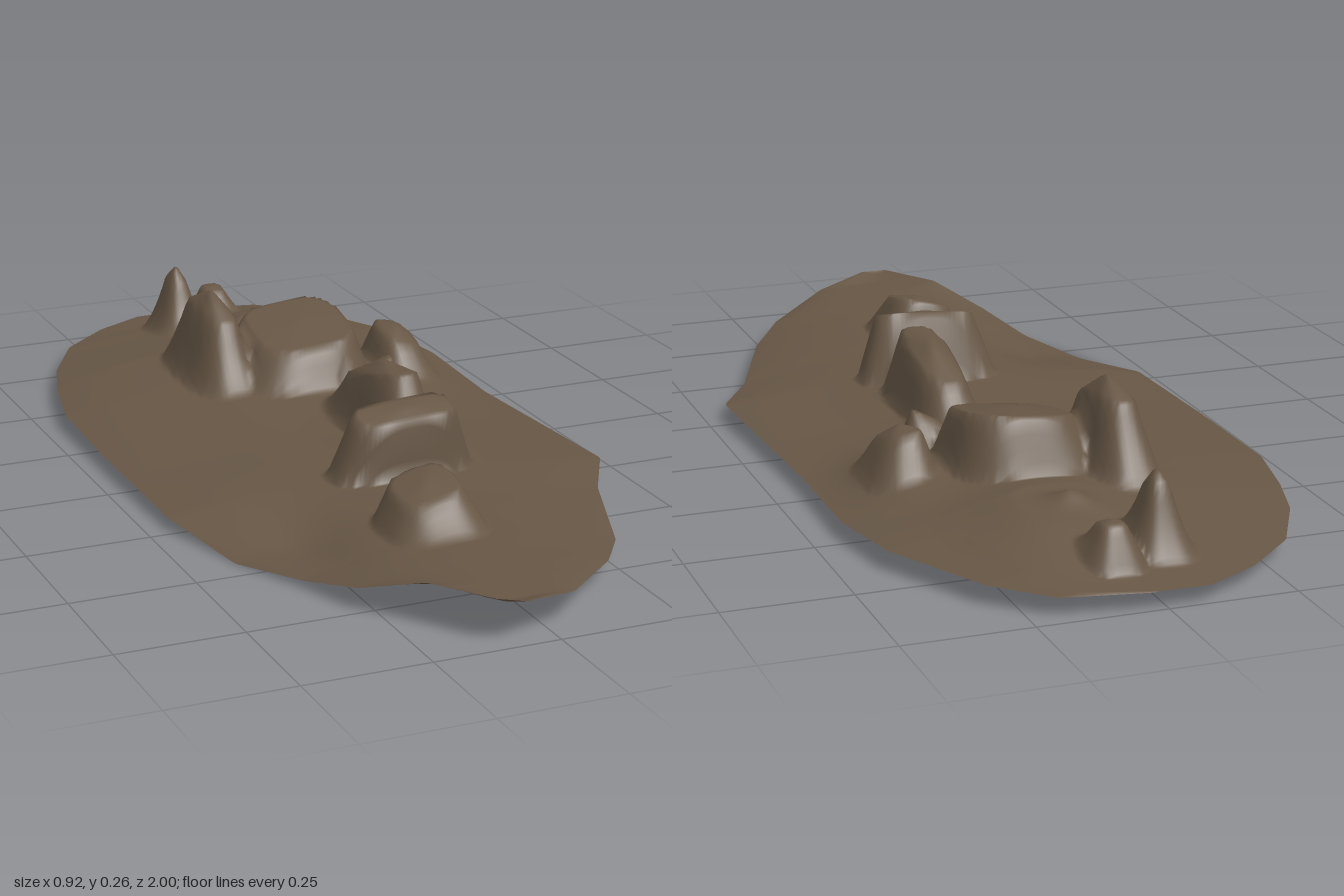
import * as THREE from 'three';

// rim of the ground sheet, back to front: [x, y, z]
const LEFT_RIM = [[-.08, .035, -1], [-.19, .035, -.94], [-.3, .035, -.84], [-.38, .035, -.69], [-.42, .035, -.56],
  [-.455, .035, -.4], [-.46, .03, -.15], [-.455, .025, .23], [-.4, 0, .44], [-.33, .015, .6], [-.28, .045, .74],
  [-.2, .088, .86], [-.12, .09, .98], [-.07, .085, 1]];
const RIGHT_RIM = [[.03, .035, -1], [.2, .038, -.975], [.3, .04, -.88], [.41, .04, -.66], [.44, .035, -.48],
  [.435, .03, -.2], [.46, .035, .28], [.38, .03, .42], [.28, .03, .68], [.2, .045, .8], [.05, .065, .95], [-.07, .085, 1]];
// height along the middle
const SPINE = [[0, .035, -1], [0, .08, -.6], [0, .06, 0], [0, .07, .5], [0, .07, .95], [0, .085, 1]];
// soft swells and dips: x, z, radius x, radius z, height
const SWELLS = [[.13, -.72, .13, .17, .035], [.06, -.4, .18, .2, .02], [.29, -.33, .1, .13, .035],
  [.11, .05, .1, .2, .015], [-.27, .45, .1, .15, -.025]];

// stones raised out of the sheet: foot [x, z, radius x, radius z], flat share of the foot,
// top height, tilt [rise towards +x, towards +z], lean of the top [x, z], roundness of the crown
const STONES = [
  { name: 'backMound', foot: [.06, -.67, .1, .09], flat: .2, top: .11, tilt: [0, 0], lean: [0, 0], crown: .01 },
  { name: 'backRidge', foot: [.06, -.87, .06, .07], flat: .4, top: .122, tilt: [0, -.01], lean: [0, 0], crown: .01 },
  { name: 'backRock', foot: [-.045, -.82, .07, .1], flat: .3, top: .16, tilt: [0, -.02], lean: [0, -.005], crown: .045 },
  { name: 'sideRock', foot: [.29, -.33, .07, .11], flat: .55, top: .14, tilt: [-.015, -.025], lean: [-.01, 0], crown: .025 },
  { name: 'smallSpike', foot: [.16, -.2, .075, .05], flat: .35, top: .13, tilt: [.04, 0], lean: [.02, 0], crown: 0 },
  { name: 'broadRock', foot: [.055, -.37, .15, .16], flat: .72, top: .178, tilt: [.015, -.03], lean: [.01, 0], crown: .012 },
  { name: 'tallRock', foot: [-.11, -.44, .075, .18], flat: .5, top: .2, tilt: [0, -.02], lean: [.005, 0], crown: .06 },
  { name: 'longRidge', foot: [.09, .01, .075, .2], flat: .6, top: .175, tilt: [0, .05], lean: [.005, 0], crown: .04 },
  { name: 'leaningSlab', foot: [.025, .25, .15, .065], flat: .7, top: .19, tilt: [.01, -.022], lean: [0, .02], crown: .01 },
  { name: 'frontRock', foot: [-.05, .555, .1, .11], flat: .6, top: .138, tilt: [.025, -.02], lean: [-.005, -.015], crown: .015 },
];

// point on a polyline at depth z
function at(line, z) {
  let i = 0;
  while (i < line.length - 2 && z > line[i + 1][2]) i++;
  const [a, b] = [line[i], line[i + 1]];
  const t = THREE.MathUtils.clamp((z - a[2]) / (b[2] - a[2]), 0, 1);
  return [a[0] + (b[0] - a[0]) * t, a[1] + (b[1] - a[1]) * t];
}

function groundHeight(x, z) {
  const [lx, ly] = at(LEFT_RIM, z), [rx, ry] = at(RIGHT_RIM, z);
  const t = THREE.MathUtils.clamp((x - lx) / Math.max(rx - lx, 1e-4), 0, 1);
  const inner = 1 - (2 * t - 1) ** 2;
  let y = ly + (ry - ly) * t;
  y += (at(SPINE, z)[1] - y) * inner;
  for (const [cx, cz, ax, az, h] of SWELLS)
    y += h * Math.exp(-(((x - cx) / ax) ** 2) - ((z - cz) / az) ** 2) * Math.min(1, inner * 2);
  return y;
}

// stone that covers a spot most, with its cover from 0 to 1
function stoneAt(x, z) {
  let best = { cover: 0 };
  for (const stone of STONES) {
    const [cx, cz, rx, rz] = stone.foot;
    const u = (x - cx) / rx, v = (z - cz) / rz;
    const d = (Math.abs(u) ** 3 + Math.abs(v) ** 3) ** (1 / 3);
    const cover = Math.min(1, (1 - d) / (1 - stone.flat));
    if (cover > best.cover) best = { cover, stone, u, v, d };
  }
  return best;
}

function surfacePoint(x, z) {
  const ground = groundHeight(x, z);
  const { cover, stone, u, v, d } = stoneAt(x, z);
  if (!stone) return [x, ground, z];
  const { top, tilt, lean, crown } = stone;
  const y = top + u * tilt[0] + v * tilt[1] + crown * (1 - d / stone.flat * .8);
  return [x + lean[0] * cover, ground + (y - ground) * cover, z + lean[1] * cover];
}

// one continuous thin sheet, hollow under the stones
function sheetGeometry() {
  const points = [], index = [], rows = 200, cols = 90;
  for (let r = 0; r <= rows; r++) {
    const z = -Math.cos(Math.PI * r / rows) * .35 + (2 * r / rows - 1) * .65;
    const lx = at(LEFT_RIM, z)[0], rx = at(RIGHT_RIM, z)[0];
    for (let c = 0; c <= cols; c++) points.push(...surfacePoint(lx + (rx - lx) * c / cols, z));
  }
  for (let r = 0; r < rows; r++) for (let c = 0; c < cols; c++) {
    const a = r * (cols + 1) + c, d = a + cols + 1;
    index.push(a, d, a + 1, a + 1, d, d + 1);
  }
  const g = new THREE.BufferGeometry();
  g.setAttribute('position', new THREE.Float32BufferAttribute(points, 3));
  g.setIndex(index);
  g.computeVertexNormals();
  return g;
}

export function createModel() {
  const earth = new THREE.MeshStandardMaterial({ color: 0x665645, side: THREE.DoubleSide });
  earth.name = 'brown earth';
  const sheet = new THREE.Mesh(sheetGeometry(), earth);
  sheet.name = 'rockyGroundSheet';
  const group = new THREE.Group();
  group.name = 'rockyGround';
  group.add(sheet);
  return group;
}
